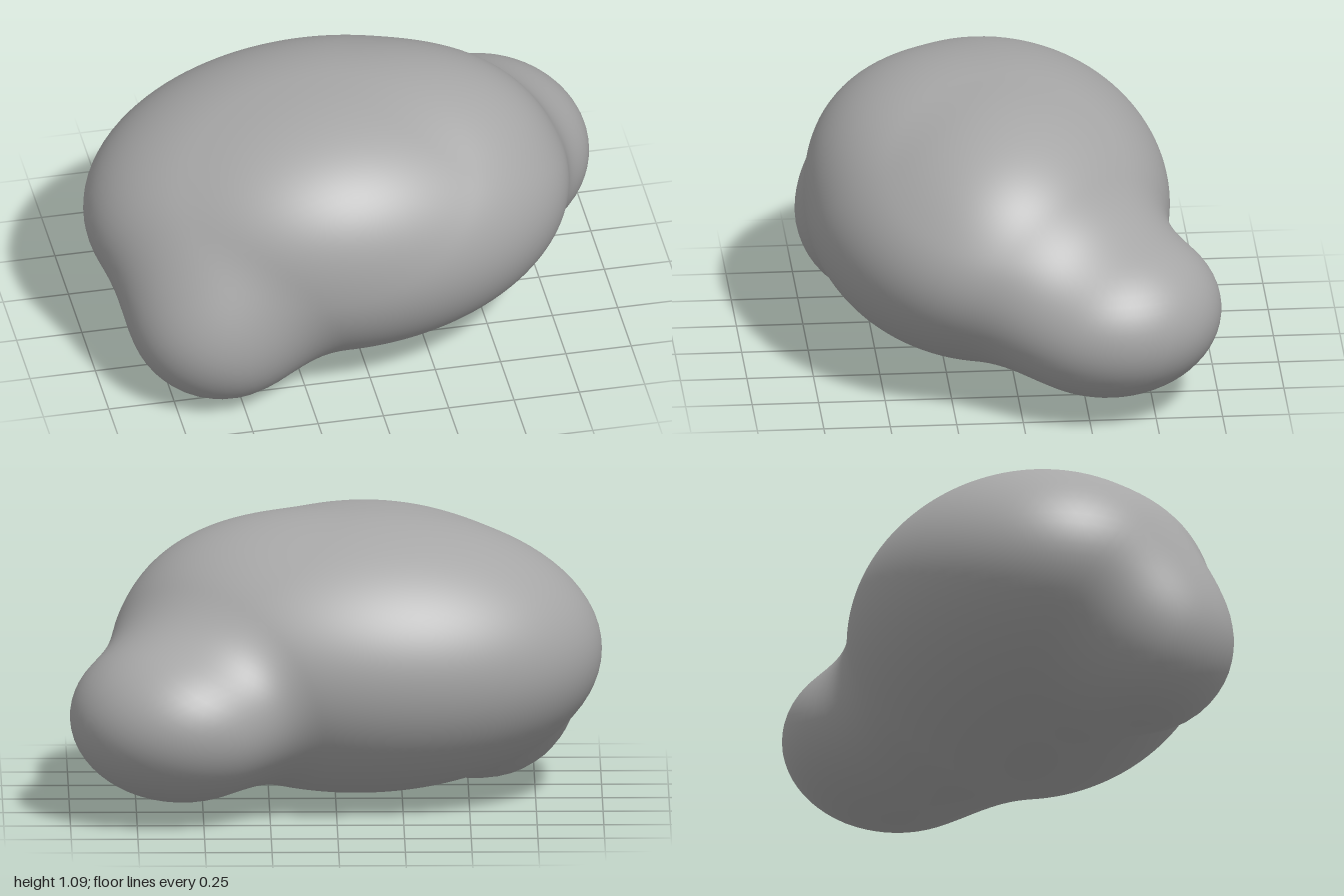
import * as THREE from 'three';
import { mergeVertices } from 'three/addons/utils/BufferGeometryUtils.js';

// Ellipsoid masses of the rock: centre, radii, softness of the join
const masses = [
  { c: [-0.08, 0.565, 0.07], r: [0.92, 0.535, 0.685], k: 0 },     // main body
  { c: [-0.12, 0.69, 0.26], r: [0.6, 0.385, 0.465], k: 0.06 },    // upper front swelling
  { c: [0.2, 0.69, 0.05], r: [0.56, 0.38, 0.46], k: 0.06 },       // upper side swelling
  { c: [0.58, 0.39, -0.33], r: [0.42, 0.32, 0.43], k: 0.16 },     // rear lobe
  { c: [-0.55, 0.34, 0.41], r: [0.355, 0.335, 0.345], k: 0.15 },  // low front knob
];

// Approximate signed distance to an ellipsoid
function ellipsoid(p, { c, r }) {
  let q = 0, g = 0;
  for (let i = 0; i < 3; i++) {
    const d = (p[i] - c[i]) / r[i];
    q += d * d;
    g += (d / r[i]) ** 2;
  }
  q = Math.sqrt(q);
  return q * (q - 1) / Math.max(Math.sqrt(g), 1e-6);
}

// Smooth union of all masses
function field(p) {
  let d = ellipsoid(p, masses[0]);
  for (const m of masses.slice(1)) {
    const e = ellipsoid(p, m);
    const h = Math.max(m.k - Math.abs(d - e), 0) / m.k;
    d = Math.min(d, e) - h * h * m.k / 4;
  }
  return d;
}

// Push a fine sphere out along rays until it meets the blended surface
function rockGeometry() {
  const origin = [0.1, 0.48, -0.05];
  const sphere = new THREE.IcosahedronGeometry(1, 26);
  sphere.deleteAttribute('uv');
  sphere.deleteAttribute('normal');
  const geo = mergeVertices(sphere, 1e-5);
  const pos = geo.attributes.position;
  const v = new THREE.Vector3();
  for (let i = 0; i < pos.count; i++) {
    v.fromBufferAttribute(pos, i).normalize();
    const at = (t) => [origin[0] + v.x * t, origin[1] + v.y * t, origin[2] + v.z * t];
    let lo = 0, hi = 1.6;
    for (let n = 0; n < 24; n++) {
      const mid = (lo + hi) / 2;
      if (field(at(mid)) < 0) lo = mid; else hi = mid;
    }
    pos.setXYZ(i, ...at(lo));
  }
  // Stand on the ground, centred
  geo.computeBoundingBox();
  const b = geo.boundingBox;
  geo.translate(-(b.min.x + b.max.x) / 2, -b.min.y, -(b.min.z + b.max.z) / 2);
  geo.computeVertexNormals();
  return geo;
}

export function createModel() {
  const group = new THREE.Group();
  group.name = 'rock';
  const stone = new THREE.MeshStandardMaterial({ color: 0xa6a6a6 });
  stone.name = 'stone grey';
  const rock = new THREE.Mesh(rockGeometry(), stone);
  rock.name = 'rockBody';
  group.add(rock);
  return group;
}
